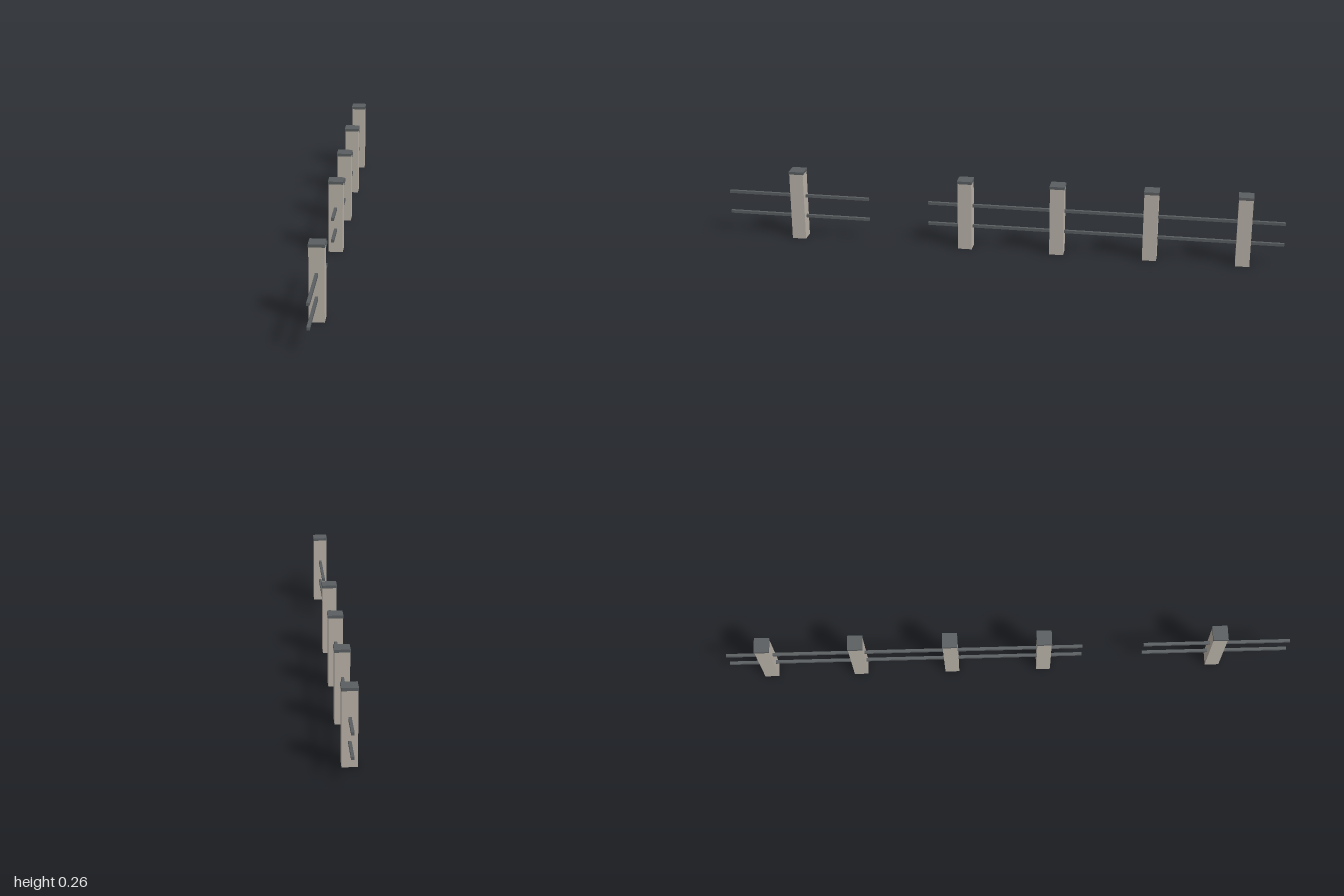
import * as THREE from 'three';

export function createModel() {
  const stone = new THREE.MeshStandardMaterial({ color: 0xb8b1a7 });
  stone.name = 'pale stone';
  const iron = new THREE.MeshStandardMaterial({ color: 0x5a5e60 });
  iron.name = 'dark iron';

  const fence = new THREE.Group();
  fence.name = 'fence';

  function box(parent, name, material, size, y, z) {
    const mesh = new THREE.Mesh(new THREE.BoxGeometry(...size), material);
    mesh.name = name;
    mesh.position.set(0, y, z);
    parent.add(mesh);
  }

  // Square posts, each with a slightly wider flat cap
  for (const z of [0.74, 0.125, -0.205, -0.535, -0.86]) {
    const post = new THREE.Group();
    post.name = 'post';
    post.position.z = z;
    box(post, 'postShaft', stone, [0.05, 0.249, 0.05], 0.1245, 0);
    box(post, 'postCap', iron, [0.053, 0.01, 0.053], 0.2535, 0);
    fence.add(post);
  }

  // Two rails on each side of the gateway gap
  for (const [start, end] of [[0.48, 1], [-1, 0.262]]) {
    for (const [name, y] of [['lowerRail', 0.082], ['upperRail', 0.16]]) {
      box(fence, name, iron, [0.01, 0.01, end - start], y, (start + end) / 2);
    }
  }

  return fence;
}
